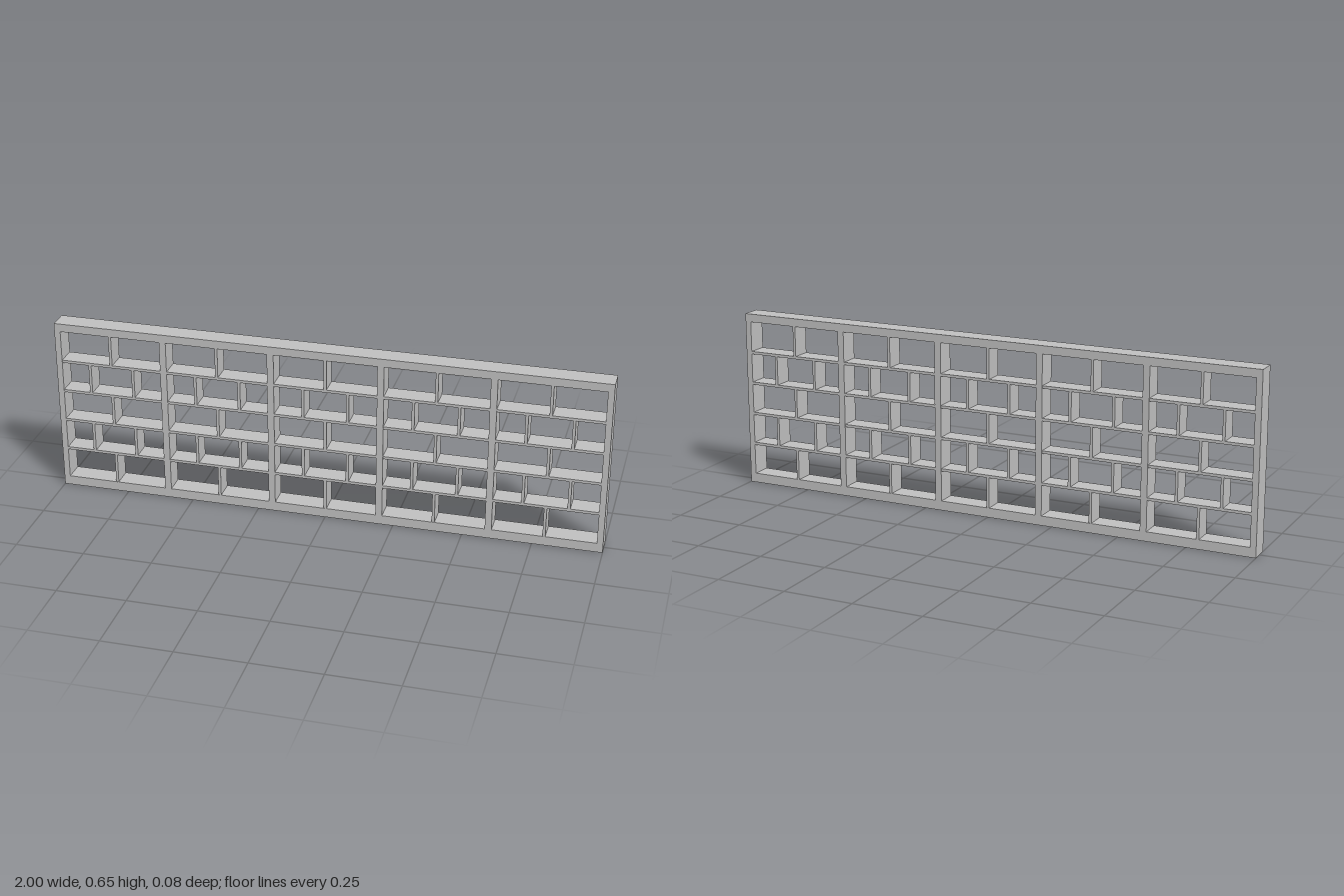
import * as THREE from 'three';

export function createModel() {
  const model = new THREE.Group();
  model.name = 'latticePanel';
  const grey = new THREE.MeshStandardMaterial({ color: 0xbebebe });
  grey.name = 'grey';

  const height = 0.65, depth = 0.076, innerDepth = 0.074;
  const bottom = 0.035, top = 0.62;        // opening limits
  const bays = 5, rows = 5, pitch = 0.396; // bay spacing
  const bayWidth = 0.372, board = 0.01;
  const rowHeight = (top - bottom) / rows;

  // Outer frame and mullions: one slab with five openings
  const outline = new THREE.Shape([[-1, 0], [1, 0], [1, height], [-1, height]]
    .map(([x, y]) => new THREE.Vector2(x, y)));
  const bayCentres = Array.from({ length: bays }, (_, i) => (i - (bays - 1) / 2) * pitch);
  for (const x of bayCentres) {
    const l = x - bayWidth / 2, r = x + bayWidth / 2;
    outline.holes.push(new THREE.Path([[l, bottom], [l, top], [r, top], [r, bottom]]
      .map(([px, py]) => new THREE.Vector2(px, py))));
  }
  const frameGeo = new THREE.ExtrudeGeometry(outline, { depth, bevelEnabled: false });
  frameGeo.translate(0, 0, -depth / 2);
  const frame = new THREE.Mesh(frameGeo, grey);
  frame.name = 'frame';
  model.add(frame);

  const addBoard = (name, parent, w, h, x, y) => {
    const mesh = new THREE.Mesh(new THREE.BoxGeometry(w, h, innerDepth), grey);
    mesh.name = name;
    mesh.position.set(x, y, 0);
    parent.add(mesh);
  };

  // Shelves and staggered dividers inside each bay
  bayCentres.forEach((x) => {
    const bay = new THREE.Group();
    bay.name = 'bayLattice';
    bay.position.x = x;
    for (let row = 0; row < rows; row++) {
      const y = bottom + row * rowHeight;
      if (row > 0) addBoard('shelf', bay, bayWidth, board, 0, y);
      const offsets = row % 2 ? [-0.081, 0.081] : [0];
      for (const dx of offsets) addBoard('divider', bay, board, rowHeight, dx, y + rowHeight / 2);
    }
    model.add(bay);
  });

  return model;
}
